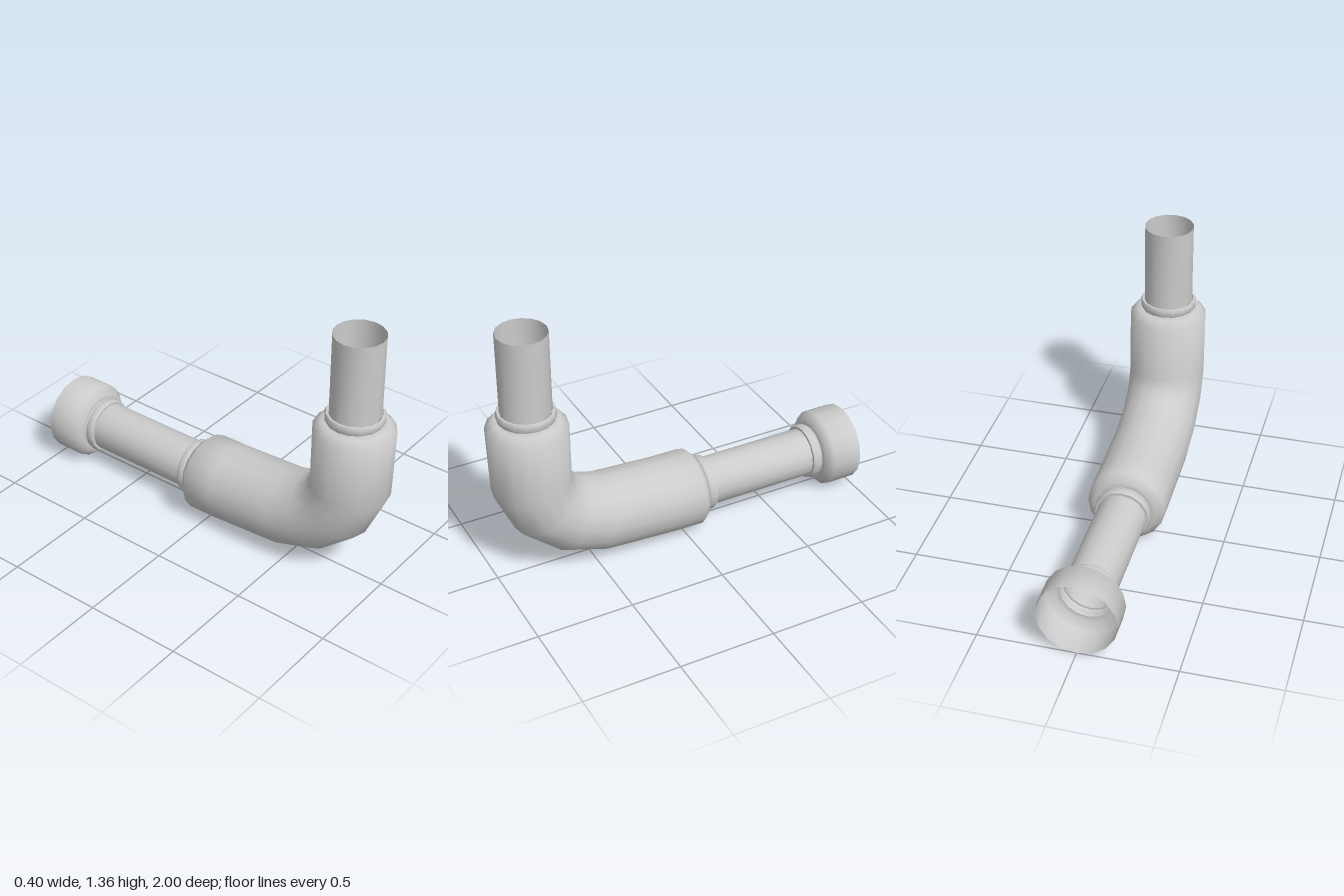
import * as THREE from 'three';
import { toCreasedNormals } from 'three/addons/utils/BufferGeometryUtils.js';

const SIDES = 16;
const R = 0.202; // radius of the elbow and socket
const AXIS_Z = 0.798; // axis of the upright leg
const AXIS_Y = 0.202; // axis of the level leg

const material = new THREE.MeshStandardMaterial({ color: 0xcccccc, side: THREE.DoubleSide });

// A section is the [z, y] of its outer-bend and inner-bend points plus its half width in x.
const section = (outer, inner, w = R) => ({ outer, inner, w });
const upright = ([y, r]) => section([AXIS_Z + r, y], [AXIS_Z - r, y], r);
const level = ([z, r]) => section([z, AXIS_Y - r], [z, AXIS_Y + r], r);

// Open tube skinned through a run of sections
function sweep(name, sections) {
  const pos = [], index = [];
  for (const { outer, inner, w } of sections) {
    for (let j = 0; j < SIDES; j++) {
      const t = (j / SIDES) * Math.PI * 2;
      const k = (1 + Math.cos(t)) / 2;
      pos.push(w * Math.sin(t),
        inner[1] + (outer[1] - inner[1]) * k,
        inner[0] + (outer[0] - inner[0]) * k);
    }
  }
  for (let i = 0; i < sections.length - 1; i++) {
    for (let j = 0; j < SIDES; j++) {
      const a = i * SIDES + j, b = i * SIDES + (j + 1) % SIDES;
      index.push(a, a + SIDES, b, b, a + SIDES, b + SIDES);
    }
  }
  const g = new THREE.BufferGeometry();
  g.setAttribute('position', new THREE.Float32BufferAttribute(pos, 3));
  g.setIndex(index);
  const mesh = new THREE.Mesh(toCreasedNormals(g, 0.9), material);
  mesh.name = name;
  return mesh;
}

// Collar profile between two stations along an axis
const collar = (s, e) => {
  const d = (e - s) / 5;
  return [[s, 0.132], [s, 0.141], [s + d, 0.146], [e - d, 0.146], [e, 0.141], [e, 0.127]];
};

export function createModel() {
  const group = new THREE.Group();
  group.name = 'pipeElbow';

  group.add(
    // Upright leg, open at the top
    sweep('uprightPipe', [[1.36, 0.127], [0.935, 0.127]].map(upright)),
    sweep('uprightCollar', collar(0.938, 0.893).map(upright)),

    // Thick bend with chamfered shoulders at both ends
    sweep('elbow', [
      ...[[0.893, 0.132], [0.884, 0.138], [0.884, 0.165], [0.847, R]].map(upright),
      section([0.99, 0.49], [0.594, 0.54]),
      section([0.89, 0.27], [0.567, 0.482]),
      section([0.69, 0.1], [0.52, 0.455]),
      section([0.47, 0.028], [0.41, 0.424]),
      section([0.07, 0.003], [0.07, 0.406]),
      ...[[-0.083, R], [-0.12, 0.165], [-0.12, 0.138], [-0.129, 0.132]].map(level),
    ]),

    // Level leg
    sweep('elbowCollar', collar(-0.129, -0.174).map(level)),
    sweep('levelPipe', [[-0.17, 0.127], [-0.756, 0.127]].map(level)),
    sweep('socketCollar', collar(-0.797, -0.752).reverse().map(level)),

    // Wide socket, open at the back
    sweep('socket', [
      [-0.797, 0.132], [-0.806, 0.138], [-0.806, 0.165], [-0.843, R], [-1, R],
    ].map(level)),
  );
  return group;
}
